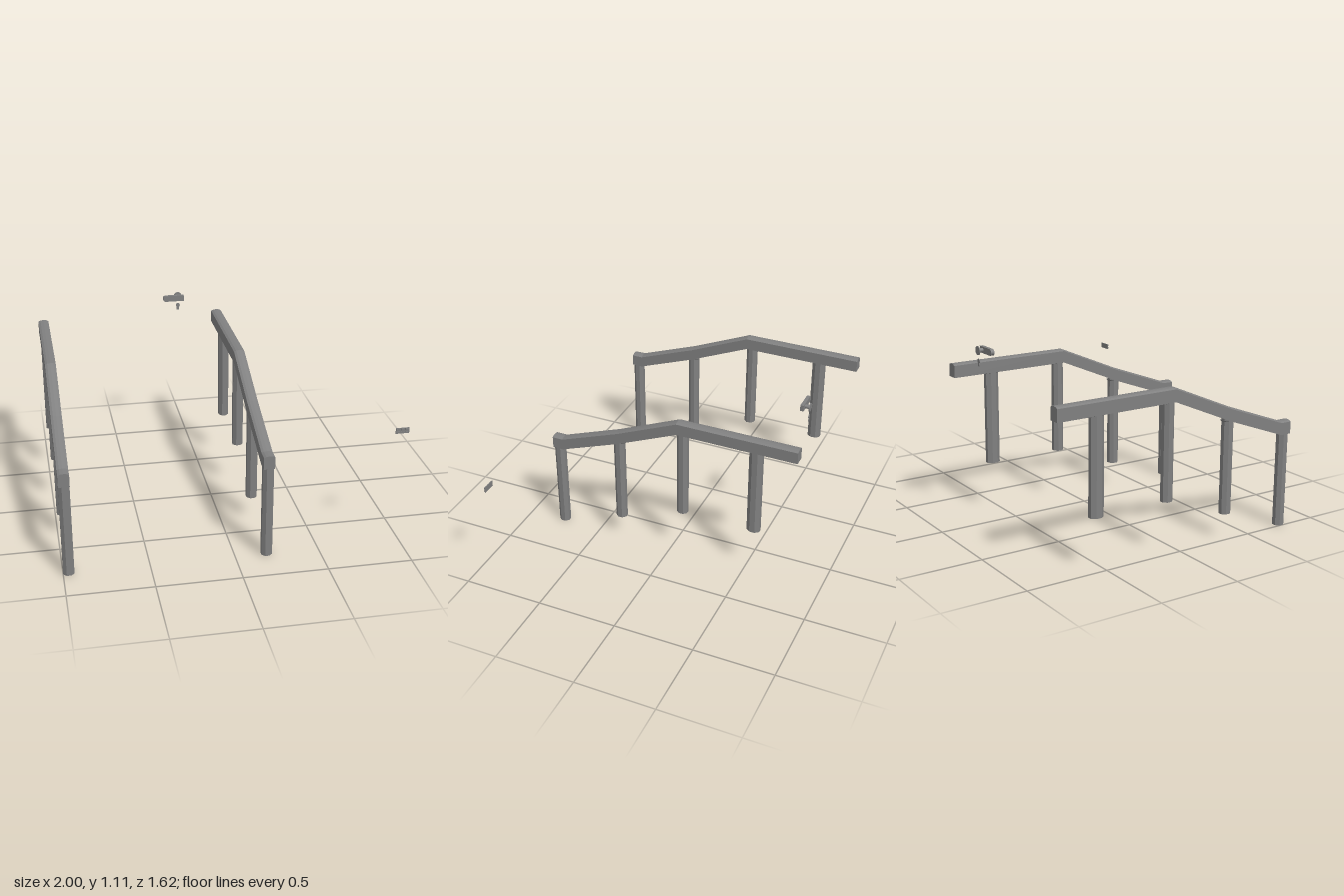
import * as THREE from 'three';

const grey = new THREE.MeshStandardMaterial({ color: 0x808080, side: THREE.DoubleSide });
grey.name = 'grey';

function add(parent, name, geometry, x = 0, y = 0, z = 0) {
  const mesh = new THREE.Mesh(geometry, grey);
  mesh.name = name;
  mesh.position.set(x, y, z);
  parent.add(mesh);
  return mesh;
}

// Handrail: a crowned cross-section swept along a bent path of [z, top y]
function railGeometry() {
  const path = [[0.798, 0.651], [0.73, 0.651], [0.345, 0.793], [-0.05, 0.962], [-0.81, 0.962]];
  const section = [[-0.0325, -0.082], [0.0325, -0.082], [0.0325, -0.009], [0.019, -0.002],
    [0, 0], [-0.019, -0.002], [-0.0325, -0.009]];
  const n = section.length;
  const rings = path.map(([z, y]) => section.map(([dx, dy]) => [dx, y + dy, z]));
  const pos = [];
  const tri = (a, b, c) => pos.push(...a, ...b, ...c);
  for (let i = 0; i < path.length - 1; i++) {
    for (let j = 0; j < n; j++) {
      const k = (j + 1) % n;
      const [a, b, c, d] = [rings[i][j], rings[i][k], rings[i + 1][k], rings[i + 1][j]];
      tri(a, d, c);
      tri(a, c, b);
    }
  }
  const front = rings[0], back = rings[path.length - 1];
  for (let j = 1; j < n - 1; j++) {
    tri(front[0], front[j], front[j + 1]);
    tri(back[0], back[j + 1], back[j]);
  }
  const g = new THREE.BufferGeometry();
  g.setAttribute('position', new THREE.Float32BufferAttribute(pos, 3));
  g.computeVertexNormals();
  return g;
}

// Open eight-sided tube with flat sides facing the axes
function postGeometry(width, depth, height, flare = 1) {
  const r = 0.5 / Math.cos(Math.PI / 8);
  const g = new THREE.CylinderGeometry(r * flare, r, height, 8, 1, true).toNonIndexed();
  g.rotateY(Math.PI / 8);
  g.scale(width, 1, depth);
  g.computeVertexNormals();
  return g;
}

function createRailing() {
  const railing = new THREE.Group();
  railing.name = 'railing';
  add(railing, 'handrail', railGeometry());
  // [z centre, depth, bottom, top]
  const posts = [[0.764, 0.067, 0, 0.575], [0.343, 0.067, 0.155, 0.735],
    [-0.081, 0.067, 0.31, 0.885], [-0.55, 0.082, 0.31, 0.885]];
  posts.forEach(([z, depth, y0, y1], i) => {
    add(railing, 'post', postGeometry(0.064, depth, y1 - y0), 0, (y0 + y1) / 2, z);
    // Small flare where the post meets the rail
    if (i > 0) {
      const top = i === 1 ? 0.718 : 0.882;
      add(railing, 'postCollar', postGeometry(0.064, depth, 0.012, 1.3), 0, top - 0.006, z).scale.x = 0.77;
    }
  });
  return railing;
}

function createHandle() {
  const handle = new THREE.Group();
  handle.name = 'doorHandle';
  const disc = (r, depth) => new THREE.CylinderGeometry(r, r, depth, 16).rotateX(Math.PI / 2);
  add(handle, 'rose', disc(0.026, 0.006), -0.078, 1.085, -0.773);
  add(handle, 'stem', disc(0.0125, 0.036), -0.078, 1.085, -0.756);

  // Lever with one rounded end
  const s = new THREE.Shape();
  s.moveTo(-0.045, 1.066);
  s.lineTo(-0.045, 1.104);
  s.lineTo(-0.163, 1.104);
  s.absarc(-0.163, 1.085, 0.019, Math.PI / 2, Math.PI * 1.5, false);
  s.closePath();
  add(handle, 'lever', new THREE.ExtrudeGeometry(s,
    { depth: 0.021, bevelEnabled: false, curveSegments: 8 }), 0, 0, -0.743);

  // Keyhole plate: a disc on a short tapered leg
  const k = new THREE.Shape();
  k.moveTo(-0.009, -0.031);
  k.lineTo(0.009, -0.031);
  k.lineTo(0.007, -0.011);
  k.absarc(0, 0, 0.0135, -1, Math.PI + 1, false);
  k.lineTo(-0.007, -0.011);
  k.closePath();
  add(handle, 'keyhole', new THREE.ExtrudeGeometry(k,
    { depth: 0.003, bevelEnabled: false, curveSegments: 8 }), -0.078, 1.023, -0.771);
  return handle;
}

function createVent() {
  const vent = new THREE.Group();
  vent.name = 'vent';
  vent.position.set(0.96, 0.744, 0.8);
  add(vent, 'ventPlate', new THREE.BoxGeometry(0.08, 0.034, 0.004), 0, 0, -0.002);
  // Two rows of raised blocks
  for (const y of [-0.009, 0.009]) {
    for (const x of [-0.027, 0, 0.027]) {
      add(vent, 'ventBlock', new THREE.BoxGeometry(0.02, 0.01, 0.005), x, y, 0.0025);
    }
  }
  return vent;
}

export function createModel() {
  const model = new THREE.Group();
  model.name = 'stairRailings';
  for (const x of [-0.9675, 0.1875]) {
    const railing = createRailing();
    railing.position.x = x;
    model.add(railing);
  }
  model.add(createHandle(), createVent());
  return model;
}
